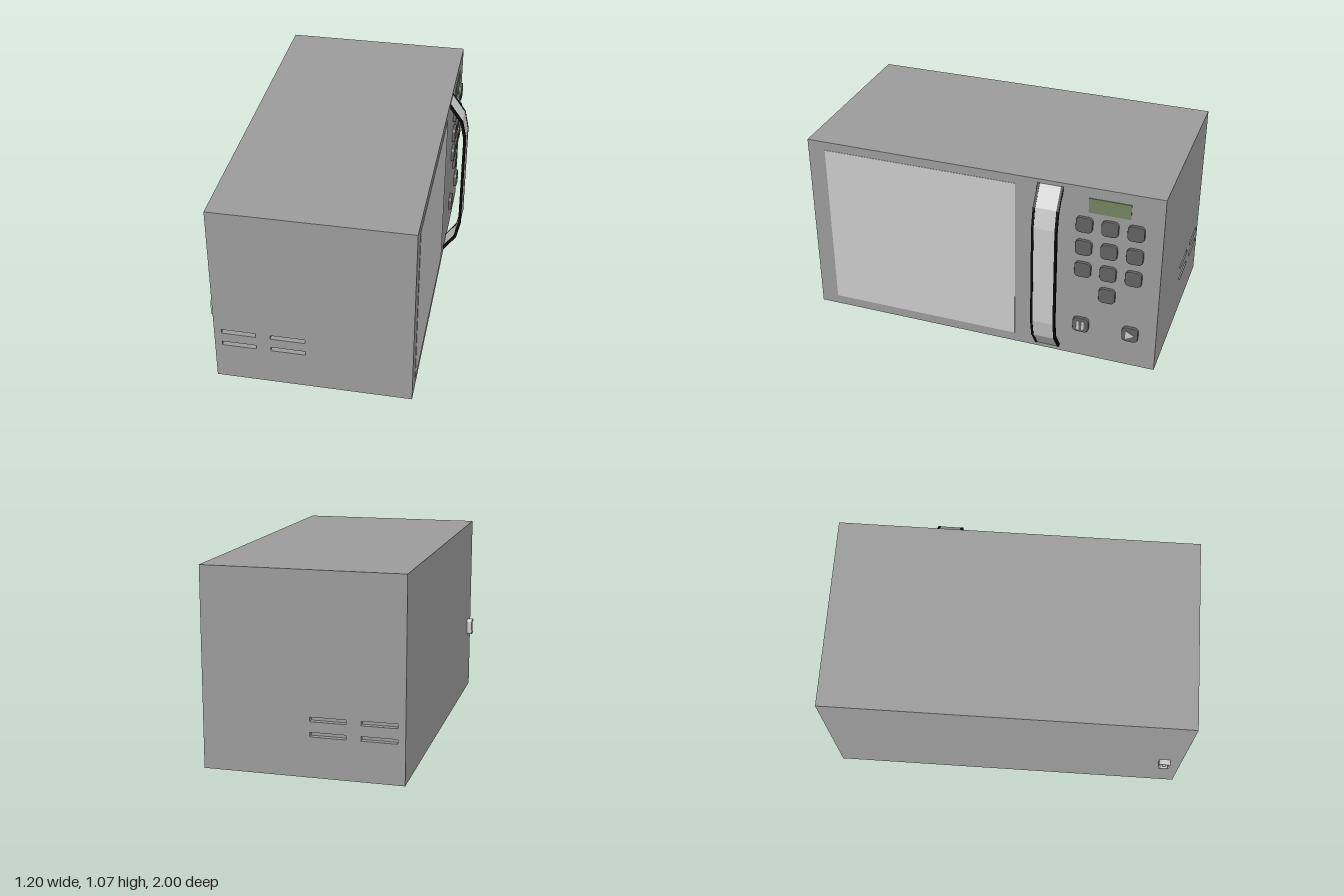
import * as THREE from 'three';

const mat = (color) => new THREE.MeshStandardMaterial({ color });

const BODY_R = 0.495, BODY_L = -0.57, HEIGHT = 1.07;

function add(parent, name, geometry, material, x = 0, y = 0, z = 0) {
  const mesh = new THREE.Mesh(geometry, material);
  mesh.name = name;
  mesh.position.set(x, y, z);
  parent.add(mesh);
  return mesh;
}

// rectangle with rounded corners, centred on (cx, cy)
function roundedRect(w, h, r, cx = 0, cy = 0, Type = THREE.Shape) {
  const s = new Type(), x = w / 2 - r, y = h / 2 - r;
  s.absarc(cx + x, cy + y, r, 0, Math.PI / 2);
  s.absarc(cx - x, cy + y, r, Math.PI / 2, Math.PI);
  s.absarc(cx - x, cy - y, r, Math.PI, Math.PI * 1.5);
  s.absarc(cx + x, cy - y, r, Math.PI * 1.5, Math.PI * 2);
  s.closePath();
  return s;
}

const polygon = (pts, Type = THREE.Shape) => new Type(pts.map(([x, y]) => new THREE.Vector2(x, y)));

const box2D = (x0, x1, y0, y1, Type) => polygon([[x0, y0], [x1, y0], [x1, y1], [x0, y1]], Type);

const extrude = (shape, depth, bevel = 0) => new THREE.ExtrudeGeometry(shape, {
  depth, curveSegments: 6, bevelEnabled: bevel > 0,
  bevelSize: bevel, bevelThickness: bevel, bevelOffset: -bevel, bevelSegments: 2,
});

export function createModel() {
  const model = new THREE.Group();
  model.name = 'microwaveOven';
  const casing = mat(0x9c9c9c), light = mat(0xcccccc), black = mat(0x080808);
  const buttonGrey = mat(0x626262), displayGreen = mat(0x74835f);

  // casing: a core closed by two end plates with sunken vent slots
  const ventDepth = 0.03;
  const body = new THREE.Group();
  body.name = 'casing';
  model.add(body);
  add(body, 'casingCore',
    new THREE.BoxGeometry(BODY_R - BODY_L, HEIGHT, 2 - 2 * ventDepth), casing,
    (BODY_R + BODY_L) / 2, HEIGHT / 2, 0);
  const plate = box2D(BODY_L, BODY_R, 0, HEIGHT);
  for (const y of [0.216, 0.296]) {
    for (const [x0, x1] of [[-0.53, -0.343], [-0.265, -0.077]]) {
      plate.holes.push(box2D(x0, x1, y, y + 0.024, THREE.Path));
    }
  }
  const plateGeometry = extrude(plate, ventDepth);
  add(body, 'frontVentPlate', plateGeometry, casing, 0, 0, 1 - ventDepth);
  add(body, 'backVentPlate', plateGeometry, casing, 0, 0, -1);

  // door side, laid out with u (towards -z) to the right and y up
  const face = new THREE.Group();
  face.name = 'doorSide';
  face.position.x = BODY_R;
  face.rotation.y = Math.PI / 2;
  model.add(face);

  add(face, 'doorWindow', new THREE.BoxGeometry(1.1, 0.965, 0.004), light, -0.35, 0.537, 0);
  add(face, 'display', new THREE.BoxGeometry(0.225, 0.085, 0.008), displayGreen, 0.713, 0.967, 0);

  // keypad
  const buttonGeometry = extrude(roundedRect(0.09, 0.09, 0.024), 0.016, 0.004);
  const addButton = (name, u, y) => add(face, name, buttonGeometry, buttonGrey, u, y, -0.002);
  const columns = [0.582, 0.72, 0.858];
  for (const y of [0.85, 0.71, 0.572]) {
    for (const u of columns) addButton('keypadButton', u, y);
  }
  addButton('keypadButton', columns[1], 0.433);
  addButton('pauseButton', columns[0], 0.212);
  addButton('startButton', columns[2], 0.212);

  // raised pause bars and start triangle
  for (const side of [-1, 1]) {
    add(face, 'pauseBar', new THREE.BoxGeometry(0.012, 0.056, 0.006), light,
      columns[0] + side * 0.014, 0.212, 0.019);
  }
  add(face, 'startTriangle', extrude(polygon([[-0.022, -0.026], [0.026, 0], [-0.022, 0.026]]), 0.006),
    light, columns[2], 0.212, 0.016);

  // bowed handle: a light band between two black rims
  const handle = new THREE.Group();
  handle.name = 'doorHandle';
  model.add(handle);
  const half = [[0.495, 0.515], [0.572, 0.407], [0.595, 0.297]];
  const halfInner = [[0.495, 0.488], [0.557, 0.4], [0.579, 0.294]];
  const mid = 0.535;
  const arch = (pts, inset) => [
    ...pts.map(([x, y]) => [x - inset, mid + y]),
    ...[...pts].reverse().map(([x, y]) => [x - inset, mid - y]),
  ];
  const bandShape = (inset) =>
    polygon([...arch(half, inset), ...arch(halfInner, -inset).reverse()]);
  const rim = extrude(bandShape(0), 0.013);
  add(handle, 'handleRim', rim, black, 0, 0, -0.335);
  add(handle, 'handleRim', rim, black, 0, 0, -0.462);
  add(handle, 'handleBand', extrude(bandShape(0.002), 0.114), light, 0, 0, -0.449);

  // power socket on the rear: rounded collar around a recessed pin block
  const socket = new THREE.Group();
  socket.name = 'powerSocket';
  socket.position.set(BODY_L, 0.403, 0.903);
  socket.rotation.y = -Math.PI / 2;
  model.add(socket);
  const collar = roundedRect(0.064, 0.096, 0.016);
  collar.holes.push(roundedRect(0.044, 0.076, 0.01, 0, 0, THREE.Path));
  add(socket, 'socketCollar', extrude(collar, 0.03), light);
  add(socket, 'socketPinBlock', new THREE.BoxGeometry(0.02, 0.052, 0.022), light, 0, 0, 0.011);

  return model;
}
